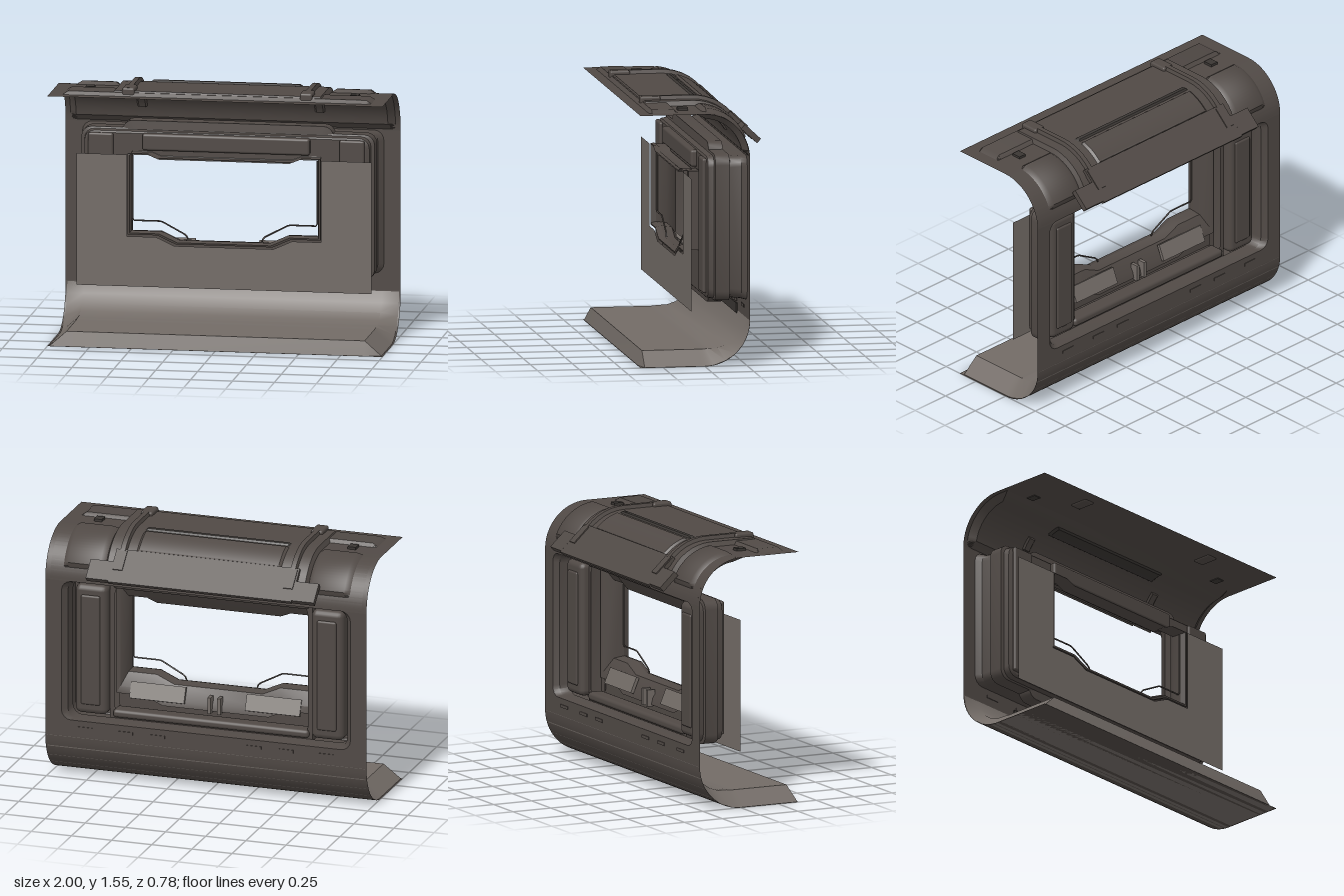
import * as THREE from 'three';
import { toCreasedNormals, mergeVertices } from 'three/addons/utils/BufferGeometryUtils.js';
import { RoundedBoxGeometry } from 'three/addons/geometries/RoundedBoxGeometry.js';

const paint = (color) => new THREE.MeshStandardMaterial({ color, side: THREE.DoubleSide });
const dark = paint(0x504945), light = paint(0x726b66), black = paint(0x3a3633);
const MID = 0.8, R = 0.27;

// Skin a list of equal-length loops of [x, y, z] points
function loft(loops, closed = true, capped = false) {
  const n = loops[0].length, pos = loops.flat(2), idx = [];
  for (let i = 0; i < loops.length - 1; i++) {
    for (let j = 0; j < (closed ? n : n - 1); j++) {
      const k = (j + 1) % n, a = i * n + j, b = i * n + k, c = a + n, d = b + n;
      idx.push(a, b, d, a, d, c);
    }
  }
  if (capped) {
    const e = (loops.length - 1) * n;
    for (let j = 1; j < n - 1; j++) idx.push(0, j + 1, j, e, e + j, e + j + 1);
  }
  const g = new THREE.BufferGeometry();
  g.setAttribute('position', new THREE.Float32BufferAttribute(pos, 3));
  g.setIndex(idx);
  return toCreasedNormals(mergeVertices(g), 0.6);
}

// Side profile: s 0..1 is the flat run, 1..2 the quarter bend into the back wall
function profile(s, top, off) {
  const a = Math.max(0, s - 1) * Math.PI / 2;
  const z = s < 1 ? 0.385 * (1 - s) : -(R + off) * Math.sin(a);
  const rise = (R + off) * Math.cos(a);
  return [top ? 1.5 - R + rise : R - rise, z];
}

const steps = (s0, s1, n) => Array.from({ length: n + 1 }, (_, i) => s0 + (s1 - s0) * i / n);

// Raised strip following the profile, with bevelled ends and tapered sides
function band(x0, x1, s0, s1, h, { top = true, base = 0, b0 = 0.02, b1 = 0.02, inset = 0.015 } = {}) {
  const list = [s0, s0 + b0, ...steps(s0 + b0, s1 - b1, 16).slice(1), ...steps(s1 - b1, s1, 5).slice(1)];
  return loft(list.map((s) => {
    const f = Math.min(1, (s - s0) / b0, (s1 - s) / b1);
    const [yb, zb] = profile(s, top, base), [yt, zt] = profile(s, top, base + h * f);
    return [[x0, yb, zb], [x0 + inset, yt, zt], [x1 - inset, yt, zt], [x1, yb, zb]];
  }), true, true);
}

// Rounded rectangle outline around the window centre
function roundRect(hw, hh, r) {
  const pts = [];
  [[1, 1], [-1, 1], [-1, -1], [1, -1]].forEach(([sx, sy], q) => {
    for (let i = 0; i <= 4; i++) {
      const a = (q + i / 4) * Math.PI / 2;
      pts.push([sx * (hw - r) + r * Math.cos(a), MID + sy * (hh - r) + r * Math.sin(a)]);
    }
  });
  return pts;
}
const atZ = (pts, z) => pts.map(([x, y]) => [x, y, z]);
const rings = (list) => loft(list.map(([z, w, h]) => atZ(roundRect(w, h, 0.06), z)));
const vecs = (pts) => pts.map(([x, y]) => new THREE.Vector2(x, y));

// Window outline, right half mirrored, and the same outline enlarged
const half = [[0.38, 1.07], [0.44, 1.095], [0.555, 1.095], [0.555, 0.64], [0.38, 0.64], [0.27, 0.59]];
const windowPts = [...half, ...half.map(([x, y]) => [-x, y]).reverse()];
const grow = (dx, down, up) => windowPts.map(([x, y]) => [x + Math.sign(x) * dx, y + (y > MID ? up : -down)]);

function flat(outer, hole, z) {
  const shape = new THREE.Shape(vecs(outer));
  if (hole) shape.holes.push(new THREE.Path(vecs(hole)));
  return new THREE.ShapeGeometry(shape).translate(0, 0, z);
}

export function createModel() {
  const root = new THREE.Group();
  const add = (name, geo, mat = dark) => {
    const m = new THREE.Mesh(geo, mat);
    m.name = name;
    root.add(m);
    return m;
  };
  const place = (m, x, y, z, rx = 0) => {
    m.position.set(x, y, z);
    m.rotation.x = rx;
  };
  const box = (name, w, h, d, x, y, z, rx, mat) => place(add(name, new THREE.BoxGeometry(w, h, d), mat), x, y, z, rx);
  const rbox = (name, w, h, d, x, y, z, r = 0.02) => place(add(name, new RoundedBoxGeometry(w, h, d, 2, r)), x, y, z);

  // Curved outer skins, top and bottom
  for (const top of [true, false]) {
    const line = (x) => [0, ...steps(1, 2, 14)].map((s) => [x, ...profile(s, top, 0)]);
    add(top ? 'roofSkin' : 'floorSkin', loft([line(-1), line(1)], false), dark);
  }
  // Raised floor inside the lower skin
  add('floor', band(-0.99, 0.99, 0.01, 1.99, -0.088, { top: false, b0: 0.06, b1: 0.85, inset: 0.1 }), light);
  box('wallRecessStrip', 1.14, 0.06, 0.008, 0, 0.28, -0.264, 0, black);
  // Roof liner and raised roof panels
  add('roofLiner', band(-0.97, 0.97, 0.85, 1.98, -0.035, { b0: 0.2, b1: 0.1, inset: 0.04 }));
  add('roofMiddle', band(-0.63, 0.63, 0.2, 1.8, 0.028, { b0: 0.06, b1: 0.05 }));
  add('roofFrontBar', band(-0.92, 0.92, 0.17, 0.62, 0.02, { b0: 0.05, b1: 0.05, inset: 0.03 }));
  add('roofCentrePanel', band(-0.45, 0.45, 1.15, 1.52, 0.012, { base: 0.028 }));
  add('roofCentreRib', band(-0.45, 0.45, 1.04, 1.12, 0.01, { base: 0.028 }), black);
  add('ceilingStrip', band(-0.45, 0.45, 1.05, 1.3, -0.012, { base: -0.035 }), black);

  // Back wall, the recess with narrower sides, and the taller ring round the window
  const wall = [[-1, R], [1, R], [1, 1.5 - R], [-1, 1.5 - R]];
  add('backWall', flat(wall, roundRect(0.9, 0.43, 0.06), -0.27));
  add('recess', rings([[-0.27, 0.9, 0.43], [-0.24, 0.87, 0.425], [-0.175, 0.86, 0.42], [-0.17, 0.875, 0.435],
    [-0.085, 0.875, 0.435], [-0.08, 0.855, 0.425], [-0.045, 0.85, 0.42], [-0.035, 0.83, 0.41]]));
  add('recessFace', flat(roundRect(0.83, 0.41, 0.06), grow(0.01, 0.01, 0.01), -0.035));
  add('windowRing', rings([[-0.17, 0.6, 0.41], [-0.17, 0.63, 0.478], [-0.085, 0.63, 0.478], [-0.08, 0.6, 0.42]]));

  // Window tunnel, splayed outward to the back
  add('windowTunnel', loft([atZ(grow(0.02, 0.02, 0.01), 0.055), atZ(grow(0.02, 0.02, 0.01), 0.03),
    atZ(grow(0.01, 0.01, 0.005), 0.025), atZ(grow(0.01, 0.01, 0.005), -0.036)]));
  add('windowRim', loft([atZ(grow(0.02, 0.02, 0.01), 0.055), atZ(grow(0.01, 0.01, 0.005), 0.058), atZ(windowPts, 0.025)]));
  add('windowSplay', loft([atZ(windowPts, 0.025), atZ(grow(0.005, 0.01, 0.005), -0.04), atZ(grow(0.04, 0.09, 0.08), -0.09),
    atZ(grow(0.06, 0.13, 0.1), -0.1)]));
  rbox('lintel', 1.0, 0.1, 0.05, 0, 1.165, -0.025, 0.015);

  // Front panel with the window notch open at the top
  const notch = grow(0.025, 0.03, 0).filter(([, y]) => y < MID);
  add('frontPanel', flat([[-0.88, 0.31], [0.88, 0.31], [0.88, 1.1], [0.58, 1.1], ...notch, [-0.58, 1.1],
    [-0.88, 1.1]], null, 0.06), light);

  // Sloped awning over the window, outside
  const tilt = -0.75;
  box('awning', 1.14, 0.025, 0.225, 0, 1.365, -0.3, tilt);
  box('awningLip', 1.1, 0.03, 0.03, 0, 1.3, -0.355, tilt);

  for (const s of [-1, 1]) {
    // Roof straps, clamps and awning ears
    add('strap', band(s * 0.53 - 0.03, s * 0.53 + 0.03, 0.2, 1.75, 0.05));
    rbox('strapClamp', 0.075, 0.06, 0.12, s * 0.53, 1.52, 0.25, 0.012);
    box('awningEar', 0.14, 0.035, 0.13, s * 0.64, 1.335, -0.325, tilt);
    box('awningBracket', 0.06, 0.05, 0.13, s * 0.53, 1.385, -0.27, tilt);
    // Shoulder panels beside the straps
    const c = s * 0.76;
    add('shoulderPanel', band(c - 0.13, c + 0.13, 1.0, 1.8, 0.02, { b0: 0.06, b1: 0.06, inset: 0.03 }));
    box('shoulderBlock', 0.05, 0.02, 0.06, s * 0.79, 1.505, 0.1, 0, black);
    add('ceilingBlock', band(s * 0.53 - 0.035, s * 0.53 + 0.035, 1.45, 1.7, -0.015, { base: -0.03 }));
    // Padded side columns in the recess
    rbox('sideColumn', 0.2, 0.8, 0.18, s * 0.735, MID, -0.13, 0.035);
    rbox('columnPad', 0.12, 0.68, 0.03, s * 0.735, MID, -0.215, 0.012);
    rbox('columnFront', 0.15, 0.8, 0.03, s * 0.75, MID + 0.01, -0.03, 0.012);
    // Sill pads, centre fins and wall slots
    box('sillPad', 0.34, 0.1, 0.02, s * 0.36, 0.535, -0.09, 0.4, light);
    box('sillFin', 0.02, 0.1, 0.05, s * 0.03, 0.5, -0.1, 0, light);
    for (const x of [0.3, 0.5, 0.75]) box('wallSlot', 0.09, 0.018, 0.008, s * x, 0.325, -0.27);
    // Thin seal line in the window corners
    const path = new THREE.CurvePath();
    const p = [[0.55, 1.09], [0.55, 0.7], [0.38, 0.7], [0.23, 0.62], [0.22, 0.595]]
      .map(([x, y]) => new THREE.Vector3(s * x, y, 0.02));
    for (let i = 1; i < p.length; i++) path.add(new THREE.LineCurve3(p[i - 1], p[i]));
    add('windowSeal', new THREE.TubeGeometry(path, 40, 0.005, 5));
  }
  // Ledges along the recess bottom and top
  rbox('lowerLedge', 1.22, 0.05, 0.1, 0, 0.41, -0.14);
  rbox('upperLedge', 1.22, 0.04, 0.1, 0, 1.205, -0.14);
  return root;
}
